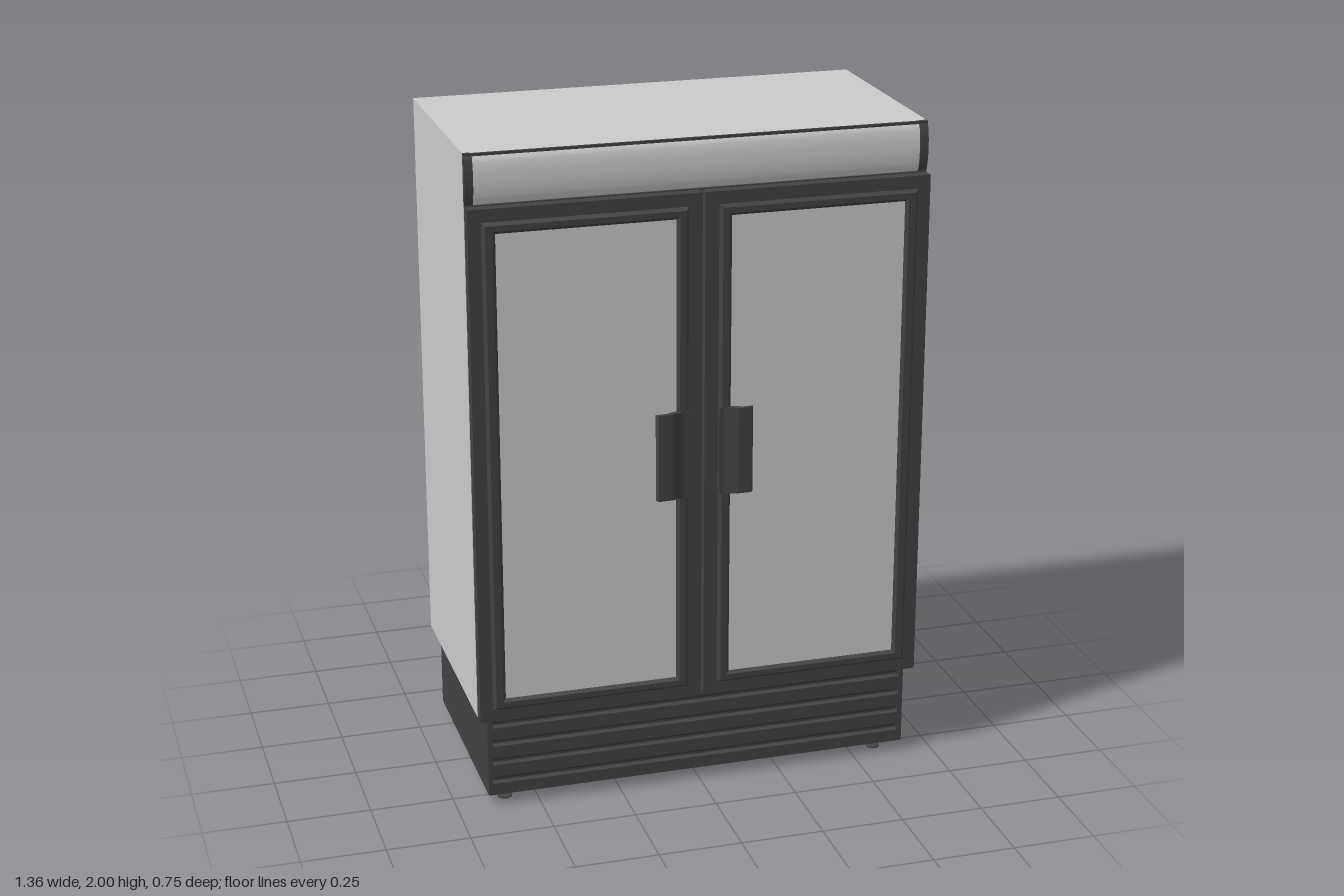
import * as THREE from 'three';
import { toCreasedNormals } from 'three/addons/utils/BufferGeometryUtils.js';

const grey = new THREE.MeshStandardMaterial({ color: 0xcccccc });
const dark = new THREE.MeshStandardMaterial({ color: 0x424242 });

function add(parent, name, geometry, material) {
  const mesh = new THREE.Mesh(geometry, material);
  mesh.name = name;
  parent.add(mesh);
  return mesh;
}

// Box given by its minimum and maximum on each axis
function box(x0, x1, y0, y1, z0, z1) {
  return new THREE.BoxGeometry(x1 - x0, y1 - y0, z1 - z0)
    .translate((x0 + x1) / 2, (y0 + y1) / 2, (z0 + z1) / 2);
}

// Side profile of [z, y] points, swept from x0 to x1
function sweepX(points, x0, x1) {
  const shape = new THREE.Shape(points.map(([z, y]) => new THREE.Vector2(-z, y)));
  const geometry = new THREE.ExtrudeGeometry(shape, { depth: x1 - x0, bevelEnabled: false });
  return toCreasedNormals(geometry.rotateY(Math.PI / 2).translate(x0, 0, 0), 0.6);
}

// Plan outline of [x, z] points, raised from y0 to y1
function raiseY(points, y0, y1) {
  const shape = new THREE.Shape(points.map(([x, z]) => new THREE.Vector2(x, -z)));
  const geometry = new THREE.ExtrudeGeometry(shape, { depth: y1 - y0, bevelEnabled: false });
  return geometry.rotateX(-Math.PI / 2).translate(0, y0, 0);
}

function rectangle(Type, x0, x1, y0, y1) {
  return new Type([[x0, y0], [x1, y0], [x1, y1], [x0, y1]].map(p => new THREE.Vector2(...p)));
}

// Convex header profile between two heights
function bulge(y0, y1, depth) {
  const points = [[0.3, y0]];
  for (let i = 0; i <= 16; i++) {
    const t = i / 16;
    points.push([0.308 + depth * Math.sqrt(Math.sin(Math.PI * t)), y0 + (y1 - y0) * t]);
  }
  points.push([0.3, y1]);
  return points;
}

function createDoor(side) {
  const door = new THREE.Group();
  door.name = side > 0 ? 'leftDoor' : 'rightDoor';
  const span = (a, b) => (side > 0 ? [a, b] : [-b, -a]);

  // Flat outer frame
  const outer = rectangle(THREE.Shape, ...span(0.004, 0.68), 0.29, 1.85);
  outer.holes.push(rectangle(THREE.Path, ...span(0.08, 0.605), 0.36, 1.78));
  add(door, 'doorFrame',
    new THREE.ExtrudeGeometry(outer, { depth: 0.038, bevelEnabled: false }).translate(0, 0, 0.312), dark);

  // Raised, bevelled moulding around the glass
  const raised = rectangle(THREE.Shape, ...span(0.045, 0.642), 0.328, 1.812);
  raised.holes.push(rectangle(THREE.Path, ...span(0.082, 0.603), 0.362, 1.778));
  add(door, 'doorMoulding', new THREE.ExtrudeGeometry(raised, {
    depth: 0.01, bevelThickness: 0.009, bevelSize: 0.009, bevelOffset: -0.009, bevelSegments: 1,
  }).translate(0, 0, 0.342), dark);

  // Glass pane
  add(door, 'glass', box(...span(0.075, 0.61), 0.355, 1.785, 0.325, 0.352), grey);

  // Angled pull handle
  const grip = [[0.045, 0.35], [0.085, 0.35], [0.115, 0.364], [0.147, 0.364],
    [0.14, 0.375], [0.1, 0.375], [0.06, 0.361], [0.045, 0.361]];
  add(door, 'handle', raiseY(grip.map(([x, z]) => [side * x, z]), 0.94, 1.205), dark);
  return door;
}

export function createModel() {
  const model = new THREE.Group();
  model.name = 'displayFridge';

  add(model, 'cabinet', box(-0.68, 0.68, 0.29, 2, -0.375, 0.306), grey);

  // Header: convex panel, end caps and thin trims
  const header = new THREE.Group();
  header.name = 'header';
  model.add(header);
  add(header, 'headerPanel', sweepX(bulge(1.852, 1.992, 0.014), -0.656, 0.656), grey);
  for (const s of [-1, 1]) {
    const [x0, x1] = s > 0 ? [0.655, 0.68] : [-0.68, -0.655];
    add(header, 'headerEndCap', sweepX(bulge(1.85, 2, 0.018), x0, x1), dark);
  }
  add(header, 'headerTopTrim', box(-0.68, 0.68, 1.992, 2, 0.305, 0.314), dark);
  add(header, 'headerBottomTrim', box(-0.68, 0.68, 1.845, 1.853, 0.305, 0.316), dark);

  for (const s of [-1, 1]) model.add(createDoor(s));

  // Plinth with a slatted grille at the front
  const plinth = new THREE.Group();
  plinth.name = 'plinth';
  model.add(plinth);
  add(plinth, 'plinthBox', box(-0.655, 0.655, 0.035, 0.29, -0.345, 0.31), dark);
  for (const s of [-1, 1]) {
    const [x0, x1] = s > 0 ? [0.64, 0.655] : [-0.655, -0.64];
    add(plinth, 'grilleSide', box(x0, x1, 0.035, 0.29, 0.3, 0.325), dark);
  }
  const grille = [[0.3, 0.035], [0.325, 0.035]];
  for (let i = 0; i < 4; i++) {
    const y = 0.072 + i * 0.061;
    grille.push([0.325, y], [0.312, y + 0.004], [0.312, y + 0.01], [0.325, y + 0.022]);
  }
  grille.push([0.325, 0.29], [0.3, 0.29]);
  add(plinth, 'grille', sweepX(grille, -0.64, 0.64), dark);

  // Levelling feet
  const footProfile = [[0, 0], [0.022, 0], [0.022, 0.004], [0.007, 0.008], [0.007, 0.014],
    [0.015, 0.017], [0.015, 0.037], [0, 0.037]].map(p => new THREE.Vector2(...p));
  const footGeometry = toCreasedNormals(new THREE.LatheGeometry(footProfile, 16), 0.6);
  for (const x of [-0.595, 0.582]) {
    for (const z of [-0.308, 0.27]) {
      add(model, 'foot', footGeometry, dark).position.set(x, 0, z);
    }
  }
  return model;
}
